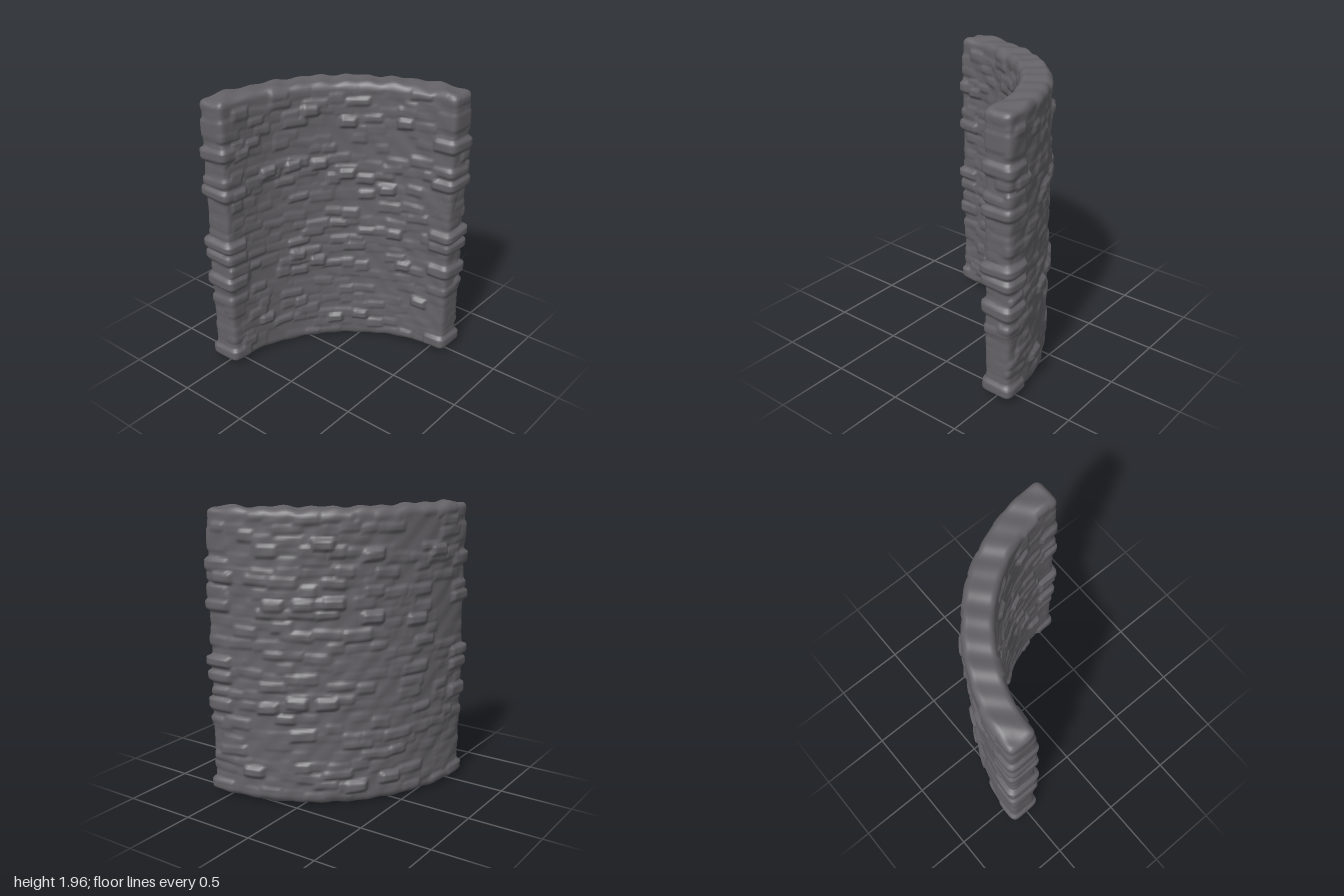
import * as THREE from 'three';
import { mergeVertices } from 'three/addons/utils/BufferGeometryUtils.js';

const HALF = 0.095;              // half the wall thickness
const RADIUS = 1.125;            // centreline radius
const CENTRE = 0.61;             // arc centre on x and z
const CORE = RADIUS * Math.PI / 2 - 2 * HALF;   // centreline between the two ends
const END = 0.32;                // perimeter length given to each end
const LOOP = 2 * (CORE + END);
const BOTTOM = 0.045, TOP = 1.965;

function seeded(seed) {
  return () => {
    seed = (seed * 1664525 + 1013904223) % 4294967296;
    return seed / 4294967296;
  };
}

const smooth = (t) => { t = Math.min(1, Math.max(0, t)); return t * t * (3 - 2 * t); };

// Soft irregularity, based on position
const ripple = (x, y, z) =>
  Math.sin(x * 17 + y * 5 + 1) * Math.sin(z * 15 - y * 9) * 0.6 +
  Math.sin(x * 31 - z * 27 + y * 38) * 0.4;

// Perimeter coordinate of an angle (degrees) on the outer or inner face
const outerAt = (deg) => RADIUS * deg * Math.PI / 180 - HALF;
const innerAt = (deg) => CORE + END + CORE - outerAt(deg);

// Stones: centre q along the perimeter, centre y, half sizes, projection
function makeStones() {
  const rand = seeded(41);
  const stones = [];
  const add = (q, y, w, h, d) => stones.push({ q, y, w, h, d, tilt: (rand() - 0.5) * 0.2 });

  // Shallow courses over the whole wall
  for (let y = 0.09; y < 1.93; y += 0.068) {
    for (let q = rand() * 0.1; q < LOOP;) {
      const w = 0.045 + rand() * 0.05;
      const onEnd = (q > CORE && q < CORE + END) || q > LOOP - END;
      const depth = rand();
      if (depth > 0.25) {
        add(q + w, y + (rand() - 0.5) * 0.03, w, 0.025 + rand() * 0.014,
          (onEnd ? 0.004 : 0.017) * depth * depth + 0.002);
      }
      q += w * 2;
    }
  }
  // Projecting stones on the inner face: angle, height
  [[36, 1.8], [50, 1.71], [71, 1.72], [8, 1.6], [19, 1.42], [29, 1.43], [39, 1.42], [6, 1.33],
    [49.5, 1.34], [65, 1.23], [68, 0.9], [38, 0.68], [30, 0.75], [72, 0.66], [79, 0.39],
    [16, 0.3], [55, 0.22], [45, 0.19]]
    .forEach(([a, y]) => add(innerAt(a), y, 0.06, 0.035, 0.032));
  // Projecting stones on the outer face
  [[53, 1.76], [38, 1.69], [15, 1.68], [84, 1.53], [68, 1.37], [59, 1.38], [50, 1.39],
    [38, 1.29], [23, 1.25], [52, 0.73], [61, 0.73], [70, 0.69], [75, 0.24], [32, 0.19], [43, 0.15]]
    .forEach(([a, y]) => add(outerAt(a), y, 0.065, 0.036, 0.032));
  // Stones wrapping both ends
  [[1.61, 0.04, 0.022], [1.42, 0.03, 0.016], [1.34, 0.035, 0.026], [0.96, 0.035, 0.032],
    [0.87, 0.035, 0.026], [0.68, 0.042, 0.026], [0.53, 0.03, 0.012], [0.1, 0.045, 0.022],
    [1.78, 0.06, 0.008]]
    .forEach(([y, h, d]) => {
      add(CORE + END / 2, y, END / 2 + 0.06, h, d);
      add(LOOP - END / 2, y, END / 2 + 0.06, h, d);
    });
  return stones;
}

function stoneHeight(stones, q, y) {
  let best = 0;
  for (const s of stones) {
    if (s.d <= best || Math.abs(y - s.y) > 0.1) continue;
    let dq = q - s.q;
    dq -= LOOP * Math.round(dq / LOOP);
    if (Math.abs(dq) > s.w + 0.02) continue;
    const dy = y - s.y - Math.max(-0.1, Math.min(0.1, dq)) * s.tilt;
    const bump = smooth((s.w + 0.014 - Math.abs(dq)) / 0.03) * smooth((s.h + 0.012 - Math.abs(dy)) / 0.024);
    best = Math.max(best, s.d * bump);
  }
  return best;
}

// Closed plan outline: centreline position s plus offset (along, across)
function makeOutline() {
  const points = [];
  const long = 125, turn = 34;
  const endPoint = (i, q0, s, sign) => {
    const angle = Math.PI / 2 - Math.PI * i / turn;
    const c = Math.cos(angle), n = Math.sin(angle);
    const k = HALF / Math.pow(Math.abs(c) ** 6 + Math.abs(n) ** 6, 1 / 6);
    points.push({ q: q0 + END * i / turn, s, along: sign * c * k, across: sign * n * k });
  };
  for (let i = 0; i < long; i++) points.push({ q: CORE * i / long, s: CORE * i / long, along: 0, across: HALF });
  for (let i = 0; i < turn; i++) endPoint(i, CORE, CORE, 1);
  for (let i = 0; i < long; i++) {
    points.push({ q: CORE + END + CORE * i / long, s: CORE * (1 - i / long), along: 0, across: -HALF });
  }
  for (let i = 0; i < turn; i++) endPoint(i, 2 * CORE + END, 0, -1);
  return points;
}

// Vertical profile: k is how far out from the centreline, cap is -1 bottom, 1 top
function makeProfile() {
  const rows = [];
  const r = 0.035, ratio = r / HALF;
  const inner = [0, 0.2, 0.4, 0.55];
  const bend = [0, 1, 2, 3, 4].map((i) => i * Math.PI / 10);
  inner.forEach((k) => rows.push({ k, y: BOTTOM, cap: -1 }));
  bend.forEach((t) => rows.push({ k: 1 - ratio * (1 - Math.sin(t)), y: BOTTOM + r * (1 - Math.cos(t)), cap: -Math.cos(t) }));
  const count = 150;
  for (let i = 0; i <= count; i++) rows.push({ k: 1, y: BOTTOM + r + (TOP - BOTTOM - 2 * r) * i / count, cap: 0 });
  [...bend].reverse().forEach((t) => rows.push({ k: 1 - ratio * (1 - Math.sin(t)), y: TOP - r * (1 - Math.cos(t)), cap: Math.cos(t) }));
  [...inner].reverse().forEach((k) => rows.push({ k, y: TOP, cap: 1 }));
  return rows;
}

function makeWallGeometry() {
  const stones = makeStones(), outline = makeOutline(), profile = makeProfile();
  const positions = [], index = [];
  const n = outline.length;
  profile.forEach(({ k, y, cap }, j) => {
    outline.forEach((p, i) => {
      // Push stones outwards along the offset direction
      const side = 1 - Math.abs(cap);
      const bump = stoneHeight(stones, p.q, y) * (0.3 + 0.7 * side) * smooth((k - 0.5) * 2);
      const grow = k * (1 + bump / HALF);
      const a = (p.s + HALF + p.along * grow) / RADIUS;
      const radius = RADIUS + p.across * grow;
      let x = CENTRE - radius * Math.cos(a), z = CENTRE - radius * Math.sin(a);
      const wave = ripple(x, y, z);
      const sway = 0.004 * k * wave * side * Math.sign(p.across || 1);
      x -= Math.cos(a) * sway;
      z -= Math.sin(a) * sway;
      // Uneven top and bottom edges, with a slight sag below the middle
      const middle = Math.max(0, Math.sin(a * 2));
      const lift = cap > 0 ? cap * 0.013 * wave : cap * (0.008 * wave + 0.014 * middle);
      positions.push(x, y + lift + (cap > 0 ? cap * 0.01 * middle : 0), z);
      if (j > 0) {
        const i2 = (i + 1) % n, lo = (j - 1) * n, hi = j * n;
        index.push(lo + i, hi + i, lo + i2, lo + i2, hi + i, hi + i2);
      }
    });
  });
  const geometry = new THREE.BufferGeometry();
  geometry.setAttribute('position', new THREE.Float32BufferAttribute(positions, 3));
  geometry.setIndex(index);
  const welded = mergeVertices(geometry, 1e-5);
  welded.computeVertexNormals();
  return welded;
}

export function createModel() {
  const group = new THREE.Group();
  group.name = 'curvedStoneWall';
  const stone = new THREE.MeshStandardMaterial({ color: 0x646266 });
  stone.name = 'dark grey stone';
  const wall = new THREE.Mesh(makeWallGeometry(), stone);
  wall.name = 'stoneWall';
  group.add(wall);
  return group;
}
